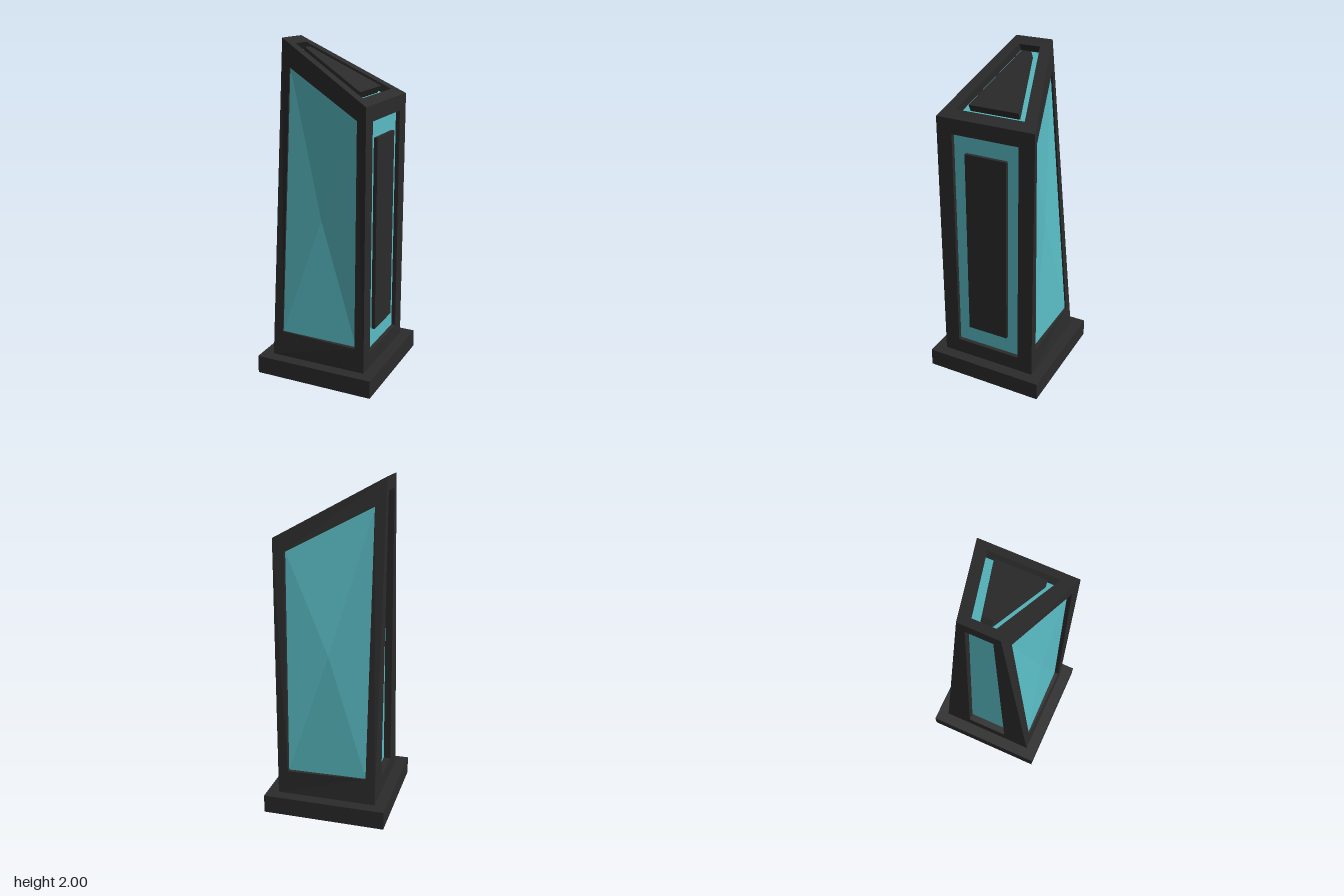
import * as THREE from 'three';

const dark = new THREE.MeshStandardMaterial({ color: 0x2b2b2b, flatShading: true });
const teal = new THREE.MeshStandardMaterial({ color: 0x59bcc4 });

function meshFrom(triangles, material, name) {
  const geometry = new THREE.BufferGeometry().setFromPoints(triangles);
  geometry.computeVertexNormals();
  const mesh = new THREE.Mesh(geometry, material);
  mesh.name = name;
  return mesh;
}

// Strips between successive four-cornered loops (counter-clockwise from outside)
function loft(loops) {
  const tris = [];
  for (let k = 0; k + 1 < loops.length; k++) {
    const a = loops[k], b = loops[k + 1];
    for (let i = 0; i < 4; i++) {
      const j = (i + 1) % 4;
      tris.push(a[i], a[j], b[j], a[i], b[j], b[i]);
    }
  }
  return tris;
}

// Four triangles around the middle, so slightly twisted panels stay even
function cap(loop) {
  const mid = new THREE.Vector3();
  loop.forEach((p) => mid.addScaledVector(p, 0.25));
  return loop.flatMap((p, i) => [p, loop[(i + 1) % 4], mid]);
}

const corners = (list) => list.map((p) => new THREE.Vector3(...p));
const shift = (loop, n, d) => loop.map((p) => p.clone().addScaledVector(n, d));
const mirrorZ = (loop) => loop.map((p) => new THREE.Vector3(p.x, p.y, -p.z)).reverse();

// A frame with an opening, a recessed pane and, if given, a raised inner block
function windowFace(name, outer, opening, pane, block) {
  const group = new THREE.Group();
  group.name = name;
  group.add(meshFrom(loft([outer, opening, pane]), dark, name + 'Frame'));
  group.add(meshFrom(cap(pane), teal, name + 'Pane'));
  if (block) {
    const [foot, top] = block;
    group.add(meshFrom([...loft([foot, top]), ...cap(top)], dark, name + 'InnerBlock'));
  }
  return group;
}

export function createModel() {
  const model = new THREE.Group();
  model.name = 'tower';

  // Plinth
  const base = new THREE.Mesh(new THREE.BoxGeometry(0.74, 0.11, 0.74), dark);
  base.position.y = 0.055;
  base.name = 'plinth';
  model.add(base);

  // Tapering front and back with large panes
  const outer = corners([[-0.3, 0.11, 0.3], [0.3, 0.11, 0.3], [0.3, 1.67, 0.3], [-0.3, 2, 0.115]]);
  const opening = corners([[-0.24, 0.265, 0.287], [0.24, 0.255, 0.298], [0.24, 1.59, 0.283], [-0.24, 1.84, 0.145]]);
  const pane = corners([[-0.24, 0.265, 0.278], [0.24, 0.255, 0.272], [0.24, 1.59, 0.258], [-0.24, 1.84, 0.133]]);
  model.add(windowFace('front', outer, opening, pane));
  model.add(windowFace('back', mirrorZ(outer), mirrorZ(opening), mirrorZ(pane)));

  // Upright left side with inner block
  const rect = (z, y0, y1) => corners([[0.3, y0, z], [0.3, y0, -z], [0.3, y1, -z], [0.3, y1, z]]);
  const out = new THREE.Vector3(1, 0, 0);
  const leftHole = rect(0.205, 0.205, 1.58);
  const leftBlock = rect(0.128, 0.32, 1.475);
  model.add(windowFace('leftSide', rect(0.3, 0.11, 1.67), leftHole, shift(leftHole, out, -0.025),
    [shift(leftBlock, out, -0.025), shift(leftBlock, out, -0.003)]));

  // Narrowing right side
  const trapezoid = (zLow, zHigh, y0, y1) =>
    corners([[-0.3, y0, -zLow], [-0.3, y0, zLow], [-0.3, y1, zHigh], [-0.3, y1, -zHigh]]);
  const rightHole = trapezoid(0.13, 0.075, 0.21, 1.92);
  model.add(windowFace('rightSide', trapezoid(0.3, 0.115, 0.11, 2), rightHole, shift(rightHole, out, 0.043)));

  // Sloping roof with inner block
  const slope = (x0, z0, x1, z1) => {
    const y = (x) => 1.835 - 0.55 * x;
    return corners([[x0, y(x0), z0], [x1, y(x1), z1], [x1, y(x1), -z1], [x0, y(x0), -z0]]);
  };
  const up = new THREE.Vector3(0.55, 1, 0).normalize();
  const roofHole = slope(-0.24, 0.065, 0.24, 0.21);
  const roofBlock = slope(-0.2, 0.03, 0.2, 0.152);
  model.add(windowFace('roof', slope(-0.3, 0.115, 0.3, 0.3), roofHole, shift(roofHole, up, -0.048),
    [shift(roofBlock, up, -0.048), roofBlock]));

  return model;
}
